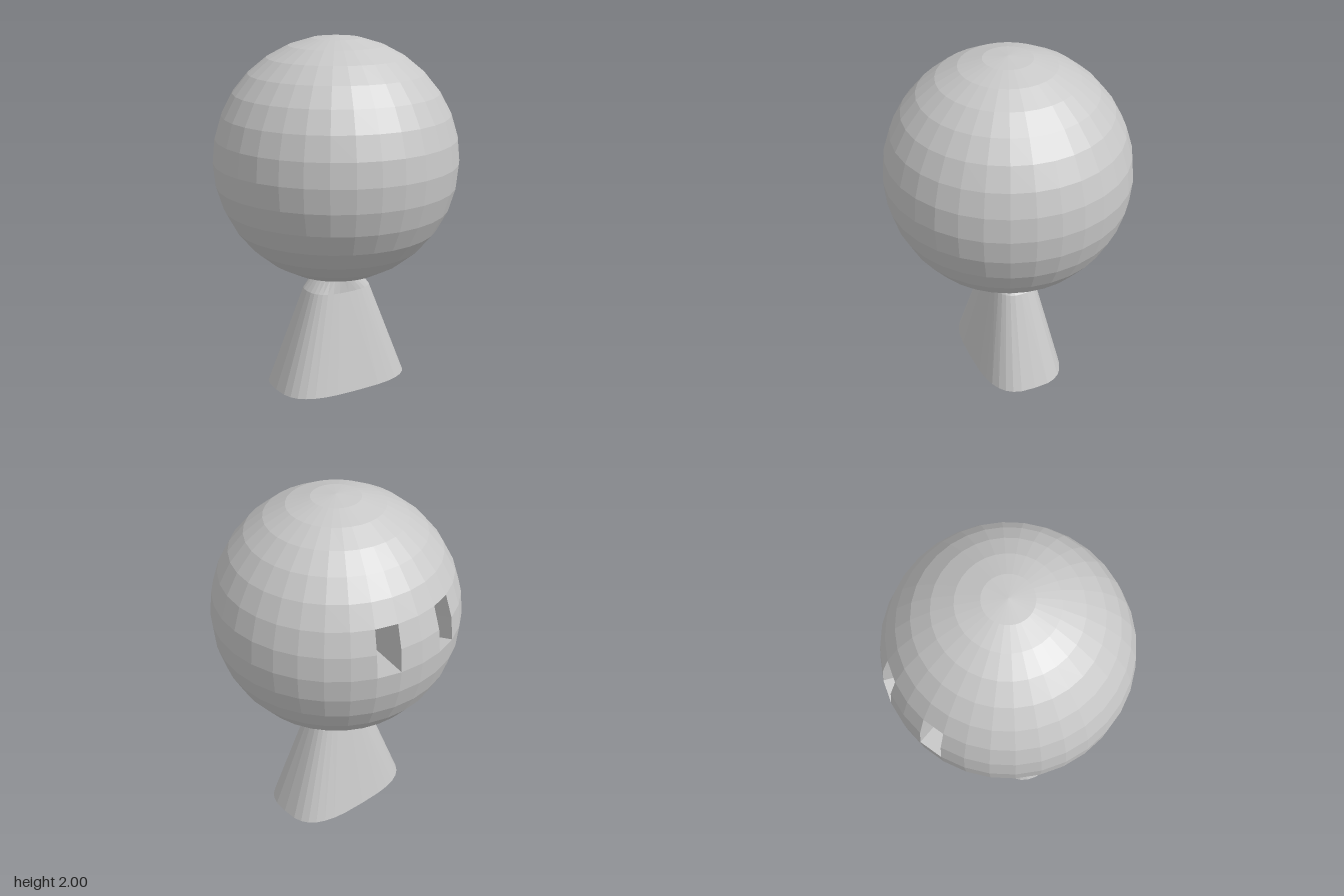
import * as THREE from 'three';

const SEG = 32, ROWS = 16, R = 0.672, CY = 1.328;
const STEP = Math.PI / ROWS;

// Faceted geometry from a list of four-cornered faces
function facesToGeometry(faces) {
  const pts = [];
  for (const [a, b, c, d] of faces) {
    if (a.distanceTo(d) > 1e-5) pts.push(a, c, d);
    if (b.distanceTo(c) > 1e-5) pts.push(a, b, c);
  }
  const g = new THREE.BufferGeometry().setFromPoints(pts);
  g.computeVertexNormals();
  return g;
}

// Point on the head: i counts down from the top, j runs round from the front
function headPoint(i, j) {
  const t = i * STEP, p = j * STEP;
  return new THREE.Vector3(
    R * Math.sin(t) * Math.sin(p), CY + R * Math.cos(t), R * Math.sin(t) * Math.cos(p));
}

function cell(i, j) {
  return [headPoint(i, j), headPoint(i + 1, j), headPoint(i + 1, j + 1), headPoint(i, j + 1)];
}

const EYE_COLUMNS = [14, 17], EYE_ROWS = [6, 7], EYE_DEPTH = 0.42;

function headGeometry() {
  const faces = [];
  for (let i = 0; i < ROWS - 1; i++) {
    for (let j = 0; j < SEG; j++) {
      if (EYE_ROWS.includes(i) && EYE_COLUMNS.includes(j)) continue;
      faces.push(cell(i, j));
    }
  }
  return facesToGeometry(faces);
}

// Deep socket: the opening pushed straight inward along its middle direction
function socketGeometry(j) {
  const push = headPoint(7, j + 0.5).sub(new THREE.Vector3(0, CY, 0)).setLength(-EYE_DEPTH);
  const inner = (p) => p.clone().add(push);
  const rim = [[6, j], [7, j], [8, j], [8, j + 1], [7, j + 1], [6, j + 1]]
    .map(([a, b]) => headPoint(a, b));
  const faces = rim.map((p, k) => {
    const q = rim[(k + 1) % rim.length];
    return [p, q, inner(q), inner(p)];
  });
  for (const i of EYE_ROWS) faces.push(cell(i, j).map(inner));
  return facesToGeometry(faces);
}

// Body: rounded rings [y, half width, half depth, squareness] from neck to base
function bodyGeometry() {
  const neck = R * Math.sin(STEP);
  const rings = [
    [CY - R * Math.cos(STEP), neck, neck, 2],
    [0.595, 0.19, 0.131, 2.6],
    [0.045, 0.395, 0.246, 3],
    [0, 0, 0, 2],
  ];
  const power = (v, n) => Math.sign(v) * Math.pow(Math.abs(v), 2 / n);
  const at = ([y, w, d, n], j) => new THREE.Vector3(
    w * power(Math.sin(j * STEP), n), y, d * power(Math.cos(j * STEP), n));
  const faces = [];
  for (let k = 0; k < rings.length - 1; k++) {
    for (let j = 0; j < SEG; j++) {
      faces.push([at(rings[k], j), at(rings[k + 1], j),
        at(rings[k + 1], j + 1), at(rings[k], j + 1)]);
    }
  }
  return facesToGeometry(faces);
}

export function createModel() {
  const group = new THREE.Group();
  group.name = 'roundHeadedFigure';
  const grey = new THREE.MeshStandardMaterial({ color: 0xc8c8c8, flatShading: true });
  grey.name = 'light grey';

  const add = (name, geometry) => {
    const mesh = new THREE.Mesh(geometry, grey);
    mesh.name = name;
    group.add(mesh);
  };

  add('head', headGeometry());
  add('leftEyeSocket', socketGeometry(EYE_COLUMNS[0]));
  add('rightEyeSocket', socketGeometry(EYE_COLUMNS[1]));
  add('body', bodyGeometry());
  return group;
}
